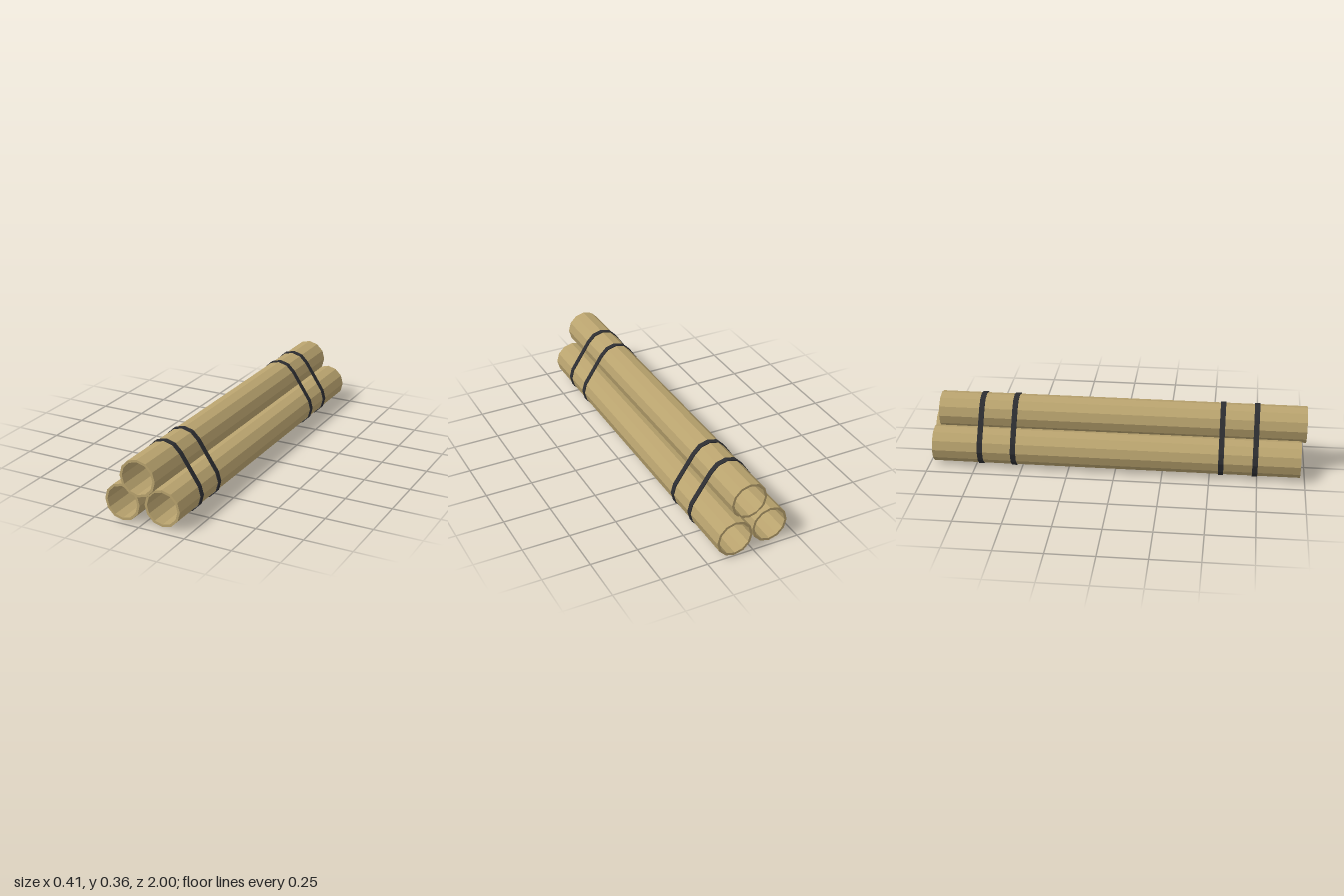
import * as THREE from 'three';

const SIDES = 12;
const LOWER_X = 0.103, LOWER_Y = 0.104, UPPER_Y = 0.259;

// points on a circle, stepping through the tube's corner angles
function arc(cx, cy, r, first, count) {
  return Array.from({ length: count }, (_, i) => {
    const a = ((first + i) / SIDES) * Math.PI * 2;
    return new THREE.Vector2(cx + r * Math.cos(a), cy + r * Math.sin(a));
  });
}

// closed outline with a hole, extruded from z0 to z1
function hollowExtrude(outer, inner, z0, z1, material, name) {
  const shape = new THREE.Shape(outer);
  shape.holes.push(new THREE.Path(inner));
  const geometry = new THREE.ExtrudeGeometry(shape, { depth: z1 - z0, bevelEnabled: false });
  geometry.translate(0, 0, z0);
  const mesh = new THREE.Mesh(geometry, material);
  mesh.name = name;
  return mesh;
}

// strap outline wrapped around all three tubes
function strapOutline(r) {
  return [
    ...arc(LOWER_X, LOWER_Y, r, -3, 5),
    ...arc(0, UPPER_Y, r, 1, 5),
    ...arc(-LOWER_X, LOWER_Y, r, 5, 5),
  ];
}

export function createModel() {
  const model = new THREE.Group();
  model.name = 'tubeBundle';
  const tan = new THREE.MeshStandardMaterial({ color: 0xb9a36e });
  tan.name = 'tan tube';
  const black = new THREE.MeshStandardMaterial({ color: 0x2c2d31 });
  black.name = 'black strap';

  // three hollow tubes, slightly staggered lengthwise
  const tubes = [
    ['upperTube', 0, UPPER_Y, -0.95, 1],
    ['leftTube', LOWER_X, LOWER_Y, -1, 0.95],
    ['rightTube', -LOWER_X, LOWER_Y, -0.975, 0.975],
  ];
  for (const [name, x, y, z0, z1] of tubes) {
    model.add(hollowExtrude(arc(x, y, 0.097, 0, SIDES), arc(x, y, 0.084, 0, SIDES), z0, z1, tan, name));
  }

  // two pairs of straps
  [0.738, 0.56, -0.54, -0.718].forEach((z, i) => {
    model.add(hollowExtrude(strapOutline(0.102), strapOutline(0.0978), z - 0.014, z + 0.014, black, `strap${i + 1}`));
  });

  return model;
}
